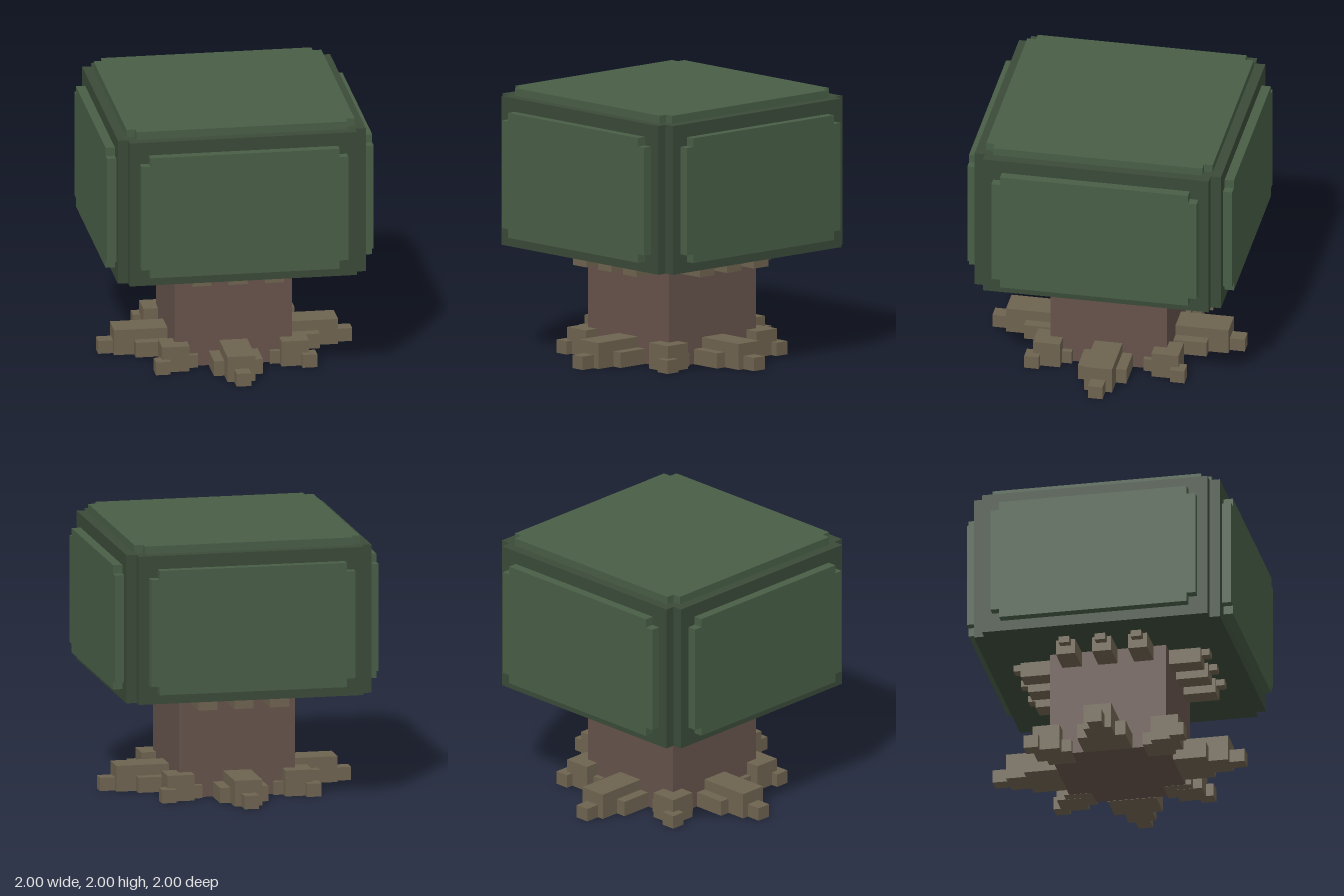
import * as THREE from 'three';

const mat = (color) => new THREE.MeshStandardMaterial({ color, flatShading: true });

// Rectangle with square notches in its corners, extruded along +z
function notchedPlate(halfW, halfH, notch, depth) {
  const a = halfW - notch, b = halfH - notch;
  const points = [
    [a, -halfH], [a, -b], [halfW, -b], [halfW, b], [a, b], [a, halfH],
    [-a, halfH], [-a, b], [-halfW, b], [-halfW, -b], [-a, -b], [-a, -halfH],
  ].map(([x, y]) => new THREE.Vector2(x, y));
  return new THREE.ExtrudeGeometry(new THREE.Shape(points), { depth, bevelEnabled: false });
}

export function createModel() {
  const model = new THREE.Group();
  model.name = 'blockTree';
  const bark = mat(0x65524a);
  const wood = mat(0x6e6350);
  const darkLeaf = mat(0x3a4a38);
  const leaf = mat(0x485e46);

  // Box given by its minimum and maximum on each axis
  const box = (parent, name, material, [x0, x1], [y0, y1], [z0, z1]) => {
    const mesh = new THREE.Mesh(new THREE.BoxGeometry(x1 - x0, y1 - y0, z1 - z0), material);
    mesh.position.set((x0 + x1) / 2, (y0 + y1) / 2, (z0 + z1) / 2);
    mesh.name = name;
    parent.add(mesh);
  };

  // Trunk
  box(model, 'trunk', bark, [-0.44, 0.44], [0.002, 0.85], [-0.44, 0.44]);

  // Canopy core and top leaf panel
  const core = new THREE.Mesh(notchedPlate(0.93, 0.93, 0.077, 1.12), darkLeaf);
  core.rotation.x = -Math.PI / 2;
  core.position.y = 0.82;
  core.name = 'canopyCore';
  const top = new THREE.Mesh(notchedPlate(0.855, 0.855, 0.065, 0.06), leaf);
  top.rotation.x = -Math.PI / 2;
  top.position.y = 1.94;
  top.name = 'topLeafPanel';
  model.add(core, top);

  // Each quarter: a leaf panel, three branches, a straight root and a corner root
  for (let i = 0; i < 4; i++) {
    const side = new THREE.Group();
    side.name = 'treeSide' + (i + 1);
    side.rotation.y = (i * Math.PI) / 2;
    model.add(side);

    const panel = new THREE.Mesh(notchedPlate(0.775, 0.47, 0.065, 0.07), leaf);
    panel.position.set(0, 1.37, 0.93);
    panel.name = 'sideLeafPanel';
    side.add(panel);

    for (const x of [-0.272, 0, 0.272]) {
      box(side, 'branch', wood, [x - 0.073, x + 0.073], [0.705, 0.82], [0.44, 0.68]);
      box(side, 'branchTip', wood, [x - 0.04, x + 0.04], [0.77, 0.82], [0.68, 0.742]);
    }

    box(side, 'root', wood, [-0.105, 0.105], [0, 0.195], [0.44, 0.84]);
    box(side, 'rootTip', wood, [-0.055, 0.055], [0, 0.1], [0.84, 0.953]);
    box(side, 'rootSide', wood, [-0.183, -0.105], [0, 0.115], [0.44, 0.69]);
    box(side, 'rootSide', wood, [0.105, 0.183], [0, 0.115], [0.44, 0.69]);

    box(side, 'cornerRoot', wood, [0.345, 0.55], [0, 0.195], [0.345, 0.55]);
    box(side, 'cornerRootTip', wood, [0.495, 0.605], [0, 0.1], [0.495, 0.605]);
    box(side, 'cornerRootBase', wood, [0.27, 0.48], [0.001, 0.1], [0.27, 0.48]);
  }
  return model;
}
